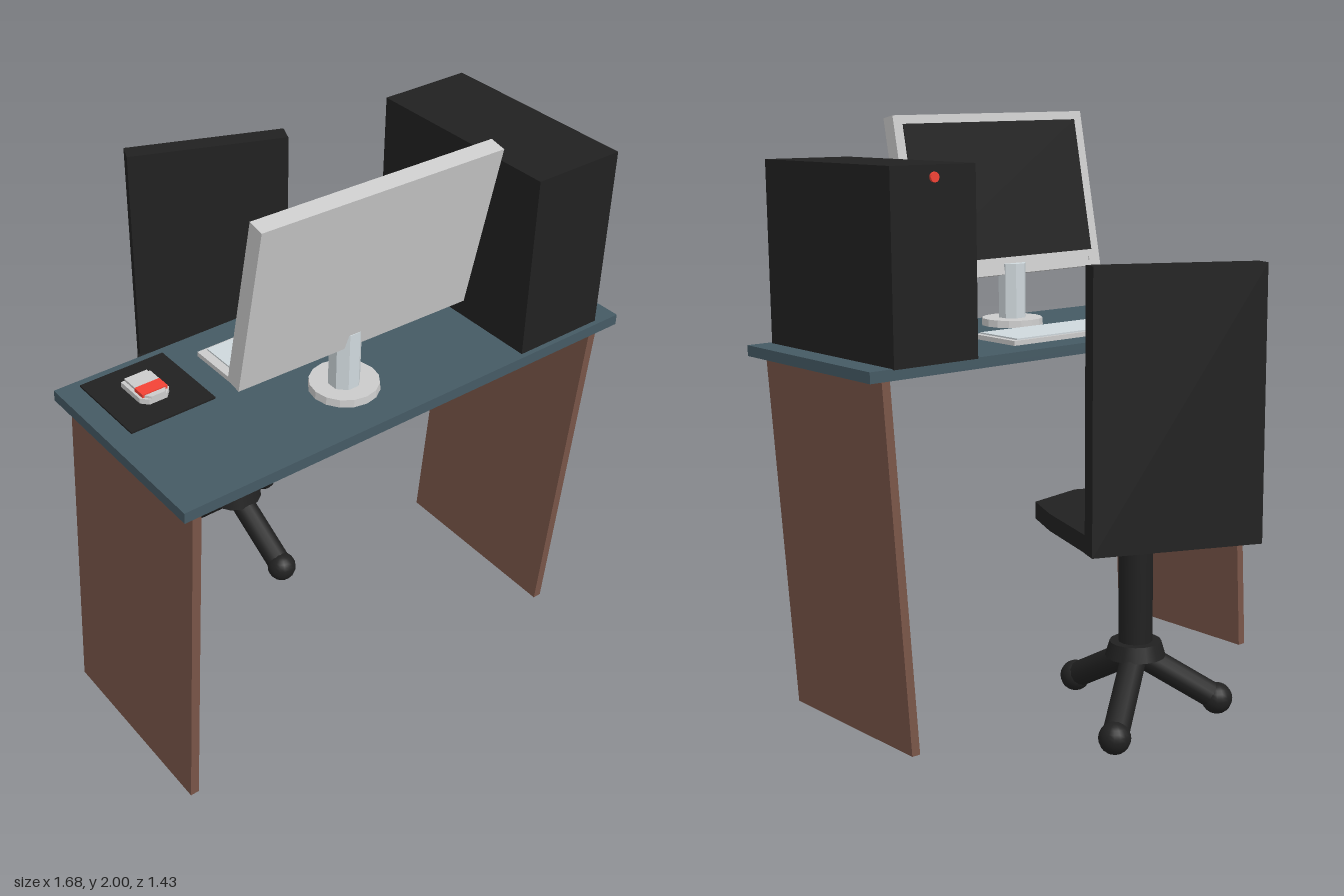
import * as THREE from 'three';

const mat = (color) => new THREE.MeshStandardMaterial({ color, flatShading: true });
const M = {
  top: mat(0x455a64), wood: mat(0x795548), black: mat(0x212121), grey: mat(0xbdbdbd),
  pale: mat(0xcfd8dc), light: mat(0xe0e0e0), red: mat(0xf44336),
};
const smoothBlack = new THREE.MeshStandardMaterial({ color: 0x212121 });

function add(parent, name, geometry, material, x = 0, y = 0, z = 0) {
  const mesh = new THREE.Mesh(geometry, material);
  mesh.name = name;
  mesh.position.set(x, y, z);
  parent.add(mesh);
  return mesh;
}
const box = (w, h, d) => new THREE.BoxGeometry(w, h, d);
const cyl = (rt, rb, h, n = 16) => new THREE.CylinderGeometry(rt, rb, h, n);
function group(parent, name, x = 0, y = 0, z = 0) {
  const g = new THREE.Group();
  g.name = name;
  g.position.set(x, y, z);
  parent.add(g);
  return g;
}

// Flat prism from an outline in x/z, extruded upwards
function slab(points, height) {
  const shape = new THREE.Shape(points.map(([x, z]) => new THREE.Vector2(x, -z)));
  const g = new THREE.ExtrudeGeometry(shape, { depth: height, bevelEnabled: false });
  return g.rotateX(-Math.PI / 2);
}

// Side panel whose foot is shifted against its top
function panel(parent, name, topX, topY, topZ, footX, footY, footZ) {
  const h = topY - footY;
  const g = box(0.03, h, 0.66);
  g.rotateY(-0.016);
  const shear = new THREE.Matrix4().set(
    1, (topX - footX) / h, 0, 0, 0, 1, 0, 0, 0, (topZ - footZ) / h, 1, 0, 0, 0, 0, 1);
  g.applyMatrix4(shear);
  add(parent, name, g, M.wood, (topX + footX) / 2, (topY + footY) / 2, (topZ + footZ) / 2);
}

function buildMonitor(parent) {
  const stand = group(parent, 'monitorStand', -0.12, 0, 0.145);
  add(stand, 'standBase', cyl(0.108, 0.11, 0.025, 16), M.light, 0, 0.014, 0);
  add(stand, 'standNeck', cyl(0.05, 0.05, 0.2, 8), M.pale, -0.005, 0.12, 0.005)
    .rotation.y = Math.PI / 8;

  const head = group(parent, 'monitor', -0.11, 0.458, 0.212);
  head.rotation.set(0.19, -0.012, -0.008);
  add(head, 'monitorCase', box(0.838, 0.57, 0.055), M.grey);
  add(head, 'screen', box(0.765, 0.48, 0.006), M.black, 0, 0.015, -0.0275);
  add(head, 'monitorButton', box(0.02, 0.014, 0.006), M.light, -0.375, -0.257, -0.0285);
}

function buildDesk(root) {
  const desk = group(root, 'desk', -0.002, 1.245, 0.348);
  desk.rotation.set(-0.012, -0.016, -0.012);
  add(desk, 'deskTop', box(1.67, 0.036, 0.705), M.top, 0, -0.018, 0);

  // Computer tower with its power button
  add(desk, 'computerTower', box(0.32, 0.605, 0.695), M.black, 0.592, 0.3, -0.012);
  add(desk, 'powerButton', cyl(0.016, 0.016, 0.012, 12), M.red, 0.592, 0.565, -0.362)
    .rotation.x = Math.PI / 2;

  buildMonitor(desk);

  // Keyboard
  const keyboard = group(desk, 'keyboard', -0.095, 0, -0.142);
  add(keyboard, 'keyboardBody', box(0.58, 0.016, 0.215), M.grey, 0, 0.008, 0);
  add(keyboard, 'keyboardKeys', box(0.53, 0.006, 0.195), M.pale, 0.005, 0.018, 0);

  // Mouse on its pad
  const pad = group(desk, 'mousePad', -0.614, 0, -0.178);
  add(pad, 'pad', box(0.295, 0.006, 0.29), M.black, 0, 0.003, 0);
  const outline = (w) => [[-w, -0.064], [w, -0.064], [w, 0.04], [w * 0.6, 0.062],
    [-w * 0.6, 0.062], [-w, 0.04]].reverse();
  add(pad, 'mouseBody', slab(outline(0.052), 0.018), M.grey, 0, 0.006, 0);
  add(pad, 'mouseTop', slab(outline(0.04), 0.008), M.grey, 0, 0.024, 0);
  add(pad, 'mouseStripe', box(0.088, 0.026, 0.045), M.red, 0, 0.023, 0.022);

  panel(root, 'rightLeg', 0.77, 1.205, 0.348, 0.713, 0.005, 0.308);
  panel(root, 'leftLeg', -0.77, 1.222, 0.32, -0.808, 0.025, 0.3);
}

function buildChair(root) {
  const chair = group(root, 'chair', 0.01, 0, -0.28);

  // Seat and backrest, swivelled on the column
  const upper = group(chair, 'chairTop', 0, 0.7, 0);
  upper.rotation.set(0.01, -0.405, 0.01);
  const right = [[0.282, -0.285], [0.295, 0.03], [0.285, 0.21], [0.1, 0.345]];
  const left = right.map(([x, z]) => [-x, z]).reverse();
  add(upper, 'seat', slab([...right, ...left].reverse(), 0.056), M.black, -0.01, -0.028, 0);
  add(upper, 'backrest', box(0.56, 0.87, 0.066), M.black, -0.002, 0.41, -0.315);

  // Column
  add(chair, 'seatMount', cyl(0.108, 0.085, 0.032, 16), smoothBlack, 0, 0.655, 0);
  add(chair, 'column', cyl(0.056, 0.056, 0.42, 16), smoothBlack, 0, 0.45, 0);
  add(chair, 'hub', cyl(0.085, 0.1, 0.05, 16), smoothBlack, 0, 0.262, 0);

  // Three splayed feet ending in balls
  const up = new THREE.Vector3(0, 1, 0);
  const start = new THREE.Vector3(0, 0.25, 0);
  for (const [x, y, z] of [[0.262, 0.07, -0.175], [-0.213, 0.08, -0.17], [-0.004, 0.088, 0.295]]) {
    const end = new THREE.Vector3(x, y, z);
    const dir = end.clone().sub(start);
    const foot = add(chair, 'footTube', cyl(0.043, 0.043, dir.length(), 12), smoothBlack);
    foot.position.copy(start).add(end).multiplyScalar(0.5);
    foot.quaternion.setFromUnitVectors(up, dir.normalize());
    add(chair, 'footBall', new THREE.SphereGeometry(0.052, 16, 12), smoothBlack, x, y, z);
  }
}

export function createModel() {
  const root = new THREE.Group();
  root.name = 'workstation';
  buildDesk(root);
  buildChair(root);
  return root;
}
